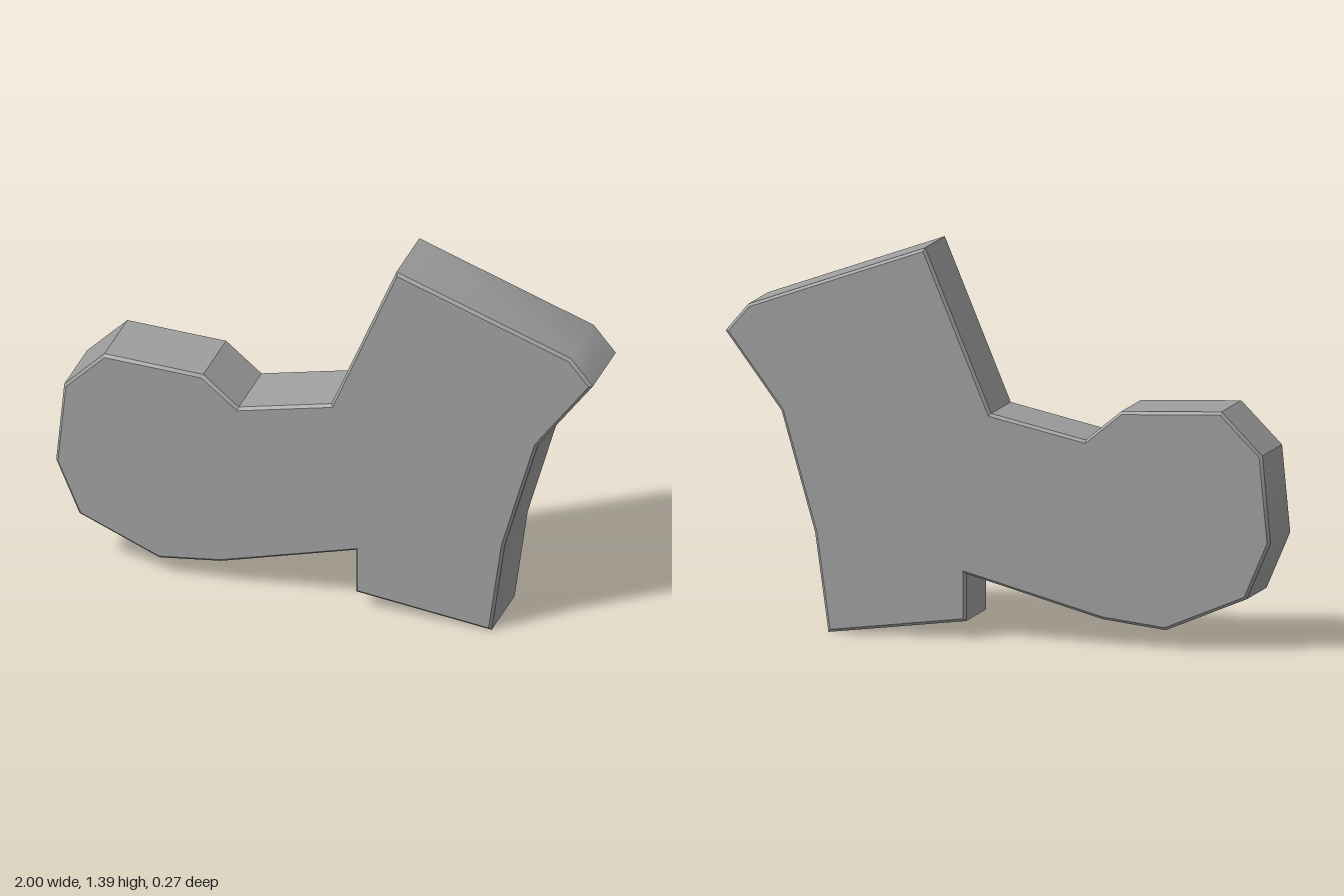
import * as THREE from 'three';
import { toCreasedNormals } from 'three/addons/utils/BufferGeometryUtils.js';

// Boot outline, clockwise from the top of the toe
const OUTLINE = [
  [-0.82, 0.856], [-0.452, 0.84], [-0.32, 0.732], [0.026, 0.81],
  [0.268, 1.392], [0.918, 1.16], [1.0, 1.062], [0.795, 0.785],
  [0.672, 0.355], [0.623, 0], [0.117, 0.063], [0.117, 0.232],
  [-0.385, 0.093], [-0.615, 0.065], [-0.913, 0.19], [-1.0, 0.393], [-0.97, 0.705],
];
const THICKNESS = 0.27;
const BEVEL = 0.01;
const CREASE = THREE.MathUtils.degToRad(31);

export function createModel() {
  const group = new THREE.Group();
  group.name = 'boot';

  // Flat slab with a narrow chamfer around both faces
  const shape = new THREE.Shape(OUTLINE.map(([x, y]) => new THREE.Vector2(x, y)));
  const depth = THICKNESS - 2 * BEVEL;
  const geometry = new THREE.ExtrudeGeometry(shape, {
    depth,
    bevelEnabled: true,
    bevelThickness: BEVEL,
    bevelSize: BEVEL,
    bevelOffset: -BEVEL,
    bevelSegments: 1,
  });
  geometry.translate(0, 0, -depth / 2);

  // Gentle bends of the heel and sole are smooth, corners stay sharp
  const material = new THREE.MeshStandardMaterial({ color: 0x9e9e9e });
  const slab = new THREE.Mesh(toCreasedNormals(geometry, CREASE), material);
  slab.name = 'bootSlab';
  group.add(slab);
  return group;
}
